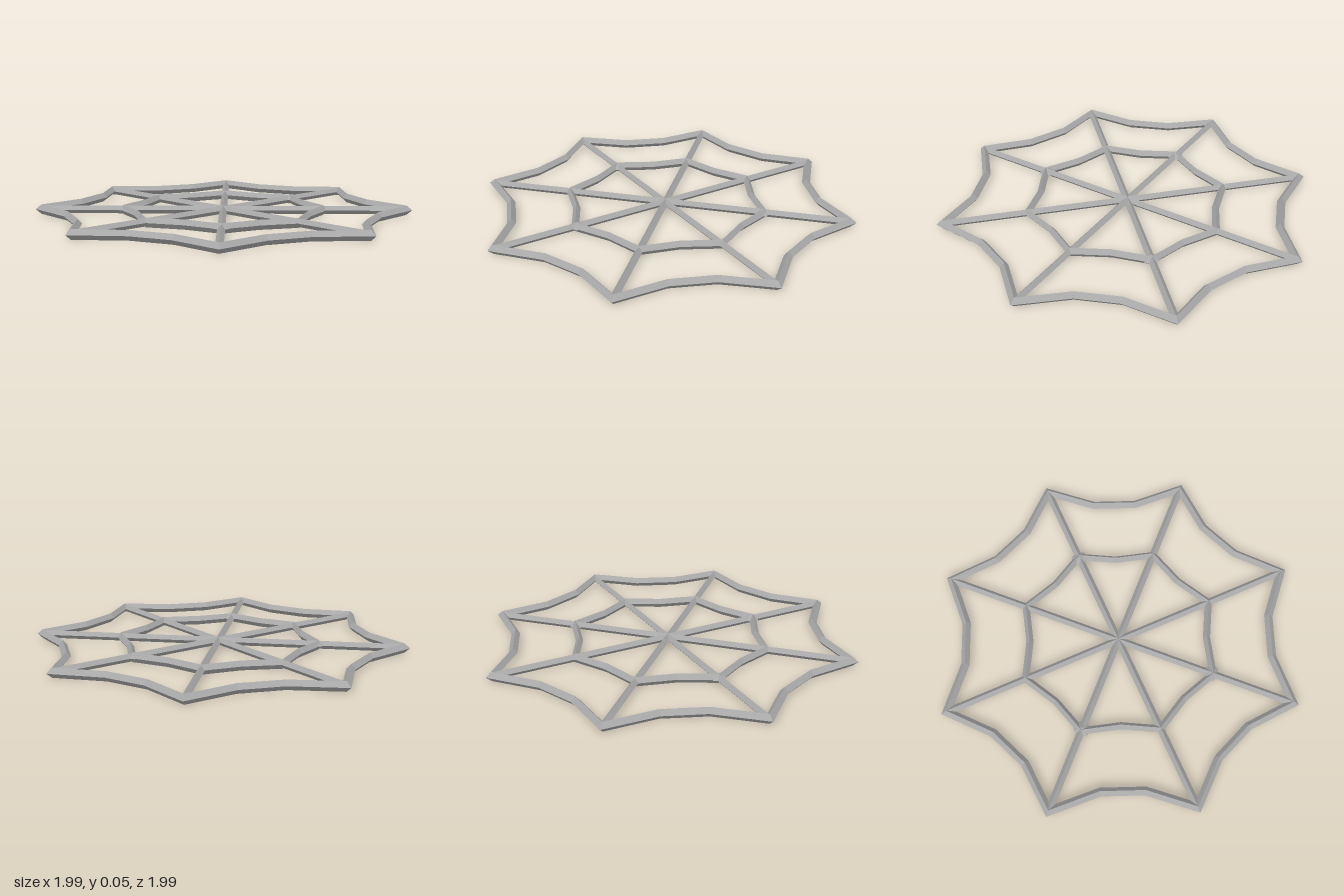
import * as THREE from 'three';

const HALF = 0.025; // half height of the diamond section
const steel = new THREE.MeshStandardMaterial({ color: 0xa8a8a8 });
steel.name = 'grey';
steel.flatShading = true;

function addMesh(parent, name, geometry) {
  const mesh = new THREE.Mesh(geometry, steel);
  mesh.name = name;
  parent.add(mesh);
  return mesh;
}

// Closed mitred bar with a diamond section along flat points (x, z)
function diamondRing(points, halfWidth) {
  const n = points.length;
  const sections = points.map((p, i) => {
    const d1 = p.clone().sub(points[(i + n - 1) % n]).normalize();
    const d2 = points[(i + 1) % n].clone().sub(p).normalize();
    const n1 = new THREE.Vector2(d1.y, -d1.x);
    const n2 = new THREE.Vector2(d2.y, -d2.x);
    const m = n1.clone().add(n2).normalize();
    m.multiplyScalar(halfWidth / m.dot(n2));
    return [
      [p.x + m.x, HALF, p.y + m.y],
      [p.x, 2 * HALF, p.y],
      [p.x - m.x, HALF, p.y - m.y],
      [p.x, 0, p.y],
    ];
  });
  const positions = [];
  for (let i = 0; i < n; i++) {
    const s = sections[i], t = sections[(i + 1) % n];
    for (let k = 0; k < 4; k++) {
      const j = (k + 1) % 4;
      positions.push(...s[k], ...s[j], ...t[j], ...s[k], ...t[j], ...t[k]);
    }
  }
  const geometry = new THREE.BufferGeometry();
  geometry.setAttribute('position', new THREE.Float32BufferAttribute(positions, 3));
  geometry.computeVertexNormals();
  return geometry;
}

// Repeats a short run of [radius, degrees] around the eight sectors
function webPoints(run) {
  const points = [];
  for (let s = 0; s < 8; s++) {
    for (const [r, deg] of run) {
      const a = THREE.MathUtils.degToRad(s * 45 + deg);
      points.push(new THREE.Vector2(r * Math.cos(a), r * Math.sin(a)));
    }
  }
  return points;
}

export function createModel() {
  const web = new THREE.Group();
  web.name = 'web';

  // Scalloped rings
  addMesh(web, 'outerRing', diamondRing(webPoints([[0.968, 0], [0.814, 14.4], [0.814, 30.6]]), 0.022));
  addMesh(web, 'innerRing', diamondRing(webPoints([[0.53, 0], [0.468, 22.5]]), 0.019));

  // Four full-length bars form the eight spokes
  for (let i = 0; i < 4; i++) {
    const geometry = new THREE.CylinderGeometry(1, 1, 1.94, 4);
    geometry.rotateZ(Math.PI / 2);
    geometry.scale(1, 0.021, 0.019);
    const spoke = addMesh(web, 'spoke', geometry);
    spoke.position.y = HALF;
    spoke.rotation.y = (i * Math.PI) / 4;
  }

  // Small knots where the inner ring is joined
  for (const deg of [90, 180, 315]) {
    const a = THREE.MathUtils.degToRad(deg);
    const geometry = new THREE.SphereGeometry(1, 6, 2);
    geometry.scale(0.045, HALF, 0.045);
    const knot = addMesh(web, 'knot', geometry);
    knot.position.set(0.518 * Math.cos(a), HALF, 0.518 * Math.sin(a));
    knot.rotation.y = -a;
  }

  return web;
}
